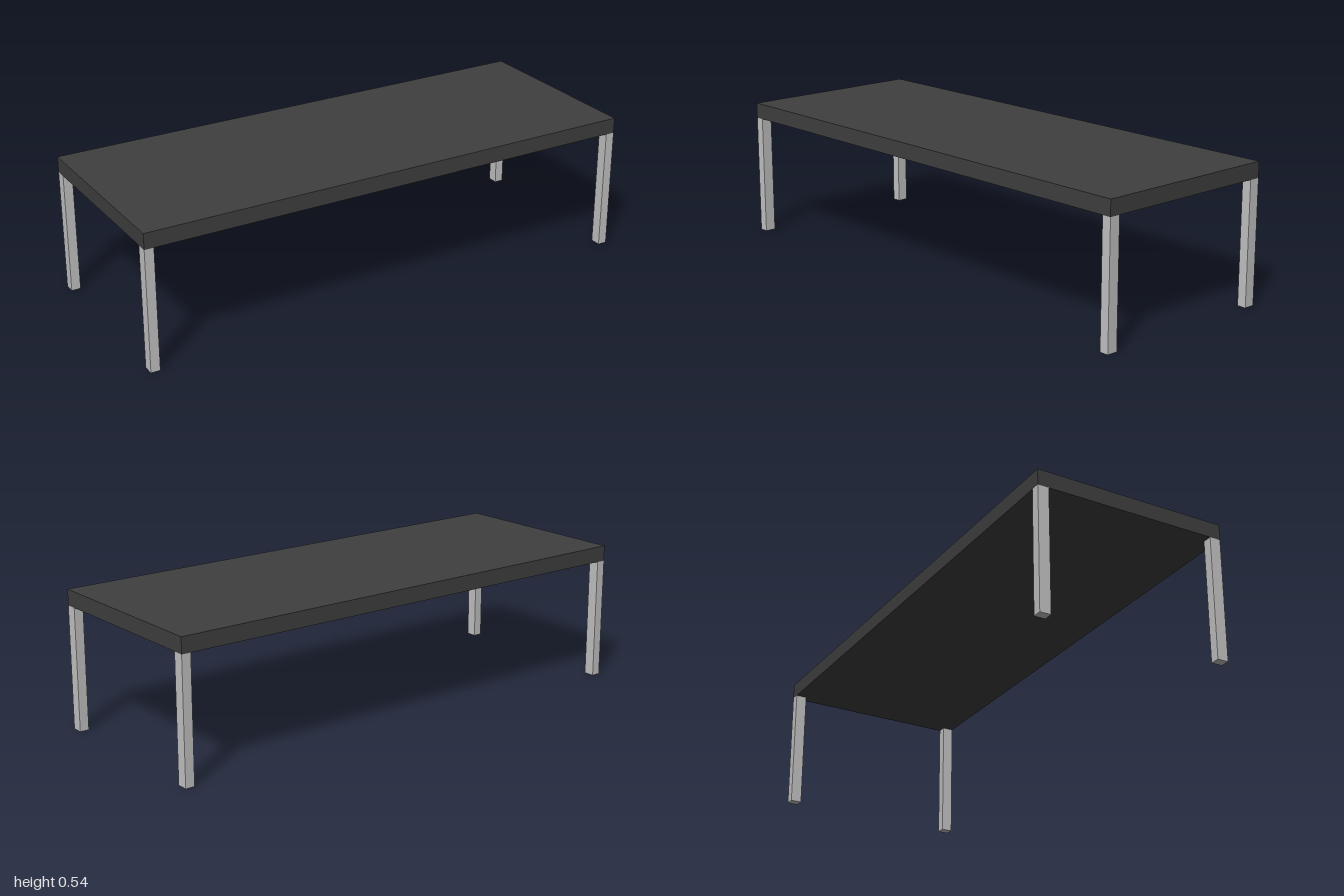
import * as THREE from 'three';

const WIDTH = 2, DEPTH = 0.752, HEIGHT = 0.536, SLAB = 0.061;
const LEG_X = 0.036, LEG_Z = 0.043;

export function createModel() {
  const table = new THREE.Group();
  table.name = 'table';

  const charcoal = new THREE.MeshStandardMaterial({ color: 0x3f3f3f });
  charcoal.name = 'charcoal';
  const lightGrey = new THREE.MeshStandardMaterial({ color: 0xc3c3c3 });
  lightGrey.name = 'light grey';

  // Solid slab top
  const top = new THREE.Mesh(new THREE.BoxGeometry(WIDTH, SLAB, DEPTH), charcoal);
  top.name = 'tableTop';
  top.position.y = HEIGHT - SLAB / 2;
  table.add(top);

  // Four legs, flush with the corners of the top
  const legHeight = HEIGHT - SLAB;
  const legGeometry = new THREE.BoxGeometry(LEG_X, legHeight, LEG_Z);
  for (const [xName, sx] of [['Left', 1], ['Right', -1]]) {
    for (const [zName, sz] of [['front', 1], ['back', -1]]) {
      const leg = new THREE.Mesh(legGeometry, lightGrey);
      leg.name = `${zName}${xName}Leg`;
      leg.position.set(sx * (WIDTH - LEG_X) / 2, legHeight / 2, sz * (DEPTH - LEG_Z) / 2);
      table.add(leg);
    }
  }

  return table;
}
